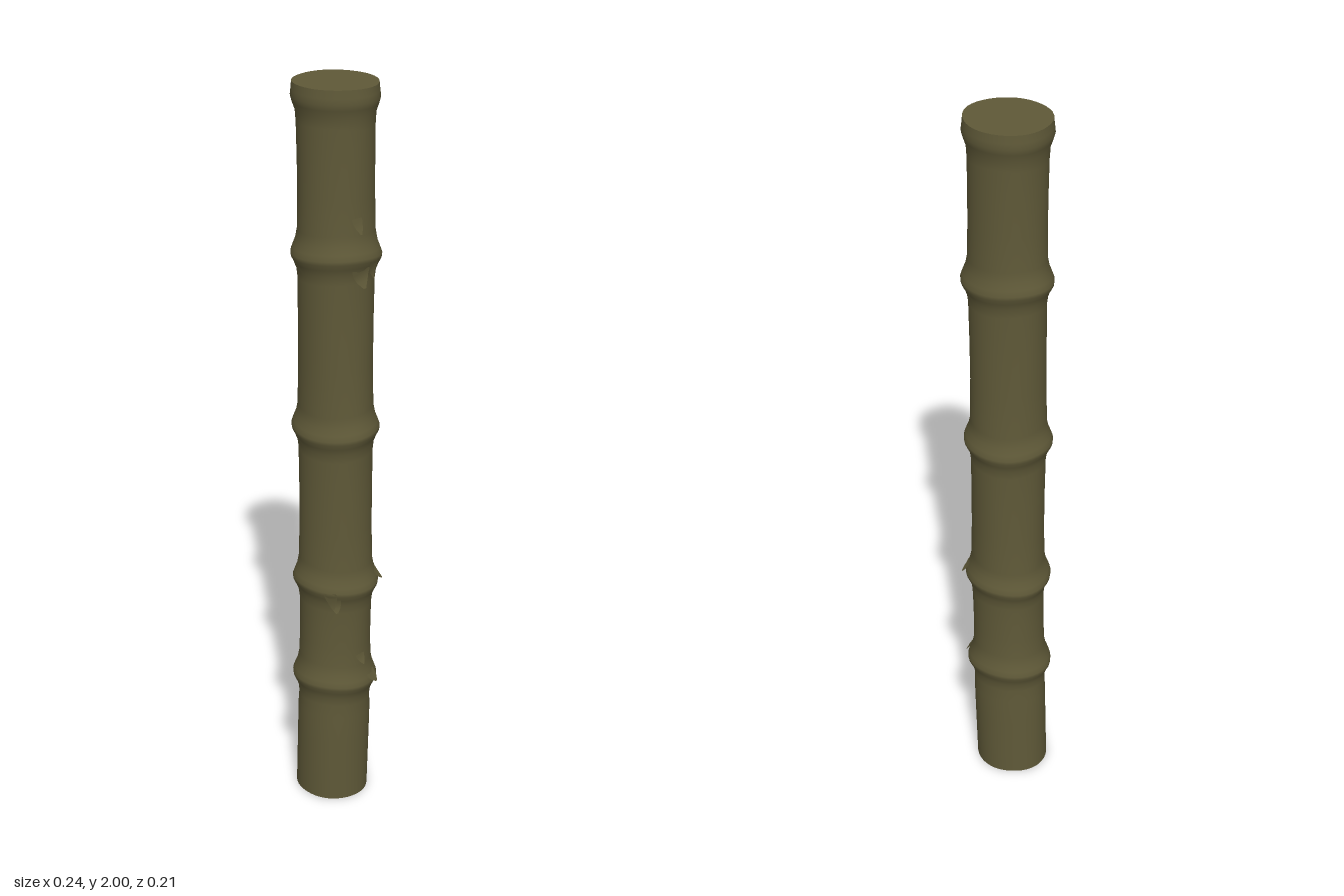
import * as THREE from 'three';
import { mergeVertices } from 'three/addons/utils/BufferGeometryUtils.js';

const SHAFT = 0.098, DEPTH = 0.92, SIDES = 40;
const NODES = [0.365, 0.66, 1.1, 1.575];

// Profile of the stalk as [radius, height], bottom to top
function stalkProfile() {
  const p = [[0.1, 0], [0.1, 0.08], [0.1, 0.18], [0.1, 0.26]];
  // swollen joints: gentle flare above, tighter tuck below
  const ring = [[0, -0.065], [0.003, -0.04], [0.01, -0.022], [0.017, -0.008],
    [0.018, 0.002], [0.013, 0.016], [0.006, 0.034], [0.001, 0.06]];
  NODES.forEach((y, i) => {
    ring.forEach(([r, dy]) => p.push([SHAFT + r, y + dy]));
    const next = (NODES[i + 1] ?? 1.965) - 0.065;
    for (let k = 1; k <= 2; k++) p.push([SHAFT - 0.001, y + 0.06 + (next - y - 0.06) * k / 3]);
  });
  p.push([0.098, 1.9], [0.1, 1.93], [0.107, 1.95], [0.111, 1.965], [0.109, 1.98], [0.107, 2]);
  return p;
}
const PROFILE = stalkProfile();

function radiusAt(y) {
  for (let i = 1; i < PROFILE.length; i++) {
    const [r0, y0] = PROFILE[i - 1], [r1, y1] = PROFILE[i];
    if (y <= y1) return r0 + (r1 - r0) * Math.max(0, (y - y0) / (y1 - y0));
  }
  return 0.107;
}

// Oval section, slight lean at the foot and soft irregularity
function bend(phi, y, r) {
  const lean = -0.012 * Math.max(0, 1 - y / 0.6);
  const wave = 1 + 0.008 * Math.sin(3 * phi + y * 5) + 0.006 * Math.sin(5 * phi - y * 9);
  const sag = y > 0.2 && y < 1.9 ? 0.004 * Math.sin(2 * phi + y * 4) : 0;
  const depth = y > 1.9 ? DEPTH + 0.2 * (y - 1.9) : DEPTH;
  return new THREE.Vector3(lean + r * wave * Math.sin(phi), y + sag, r * wave * depth * Math.cos(phi));
}

function bentLathe(points) {
  let g = new THREE.LatheGeometry(points.map(([r, y]) => new THREE.Vector2(r, y)), SIDES);
  const pos = g.attributes.position;
  for (let i = 0; i < pos.count; i++) {
    const x = pos.getX(i), z = pos.getZ(i);
    const v = bend(Math.atan2(x, z), pos.getY(i), Math.hypot(x, z));
    pos.setXYZ(i, v.x, v.y, v.z);
  }
  g.deleteAttribute('uv');
  g.deleteAttribute('normal');
  g = mergeVertices(g, 1e-5);
  g.computeVertexNormals();
  return g;
}

// Small torn strip of bark: held at one end, curling away at the other
function flake(angle, y, width, drop, lift) {
  const pts = [], index = [], rows = 3;
  for (let i = 0; i <= rows; i++) {
    const t = i / rows, half = width * (1 - 0.85 * t * t) / 2;
    for (const s of [-1, 1]) {
      const h = y - drop * t + s * 0.15 * half;
      const v = bend(angle + s * half / SHAFT + t * 0.08, h, radiusAt(h) + 0.001 + lift * t * t);
      pts.push(v.x, v.y, v.z);
    }
    if (i < rows) {
      const a = i * 2;
      index.push(a, a + 2, a + 1, a + 1, a + 2, a + 3);
    }
  }
  const g = new THREE.BufferGeometry();
  g.setAttribute('position', new THREE.Float32BufferAttribute(pts, 3));
  g.setIndex(index);
  g.computeVertexNormals();
  return g;
}

export function createModel() {
  const group = new THREE.Group();
  group.name = 'bambooStalk';
  const bark = new THREE.MeshStandardMaterial({ color: 0x5f5938, side: THREE.DoubleSide });
  bark.name = 'oliveBark';
  const add = (name, geometry) => {
    const mesh = new THREE.Mesh(geometry, bark);
    mesh.name = name;
    group.add(mesh);
  };

  add('stalk', bentLathe(PROFILE));
  add('topCut', bentLathe([[0.107, 2], [0, 2]]));
  add('bottomCut', bentLathe([[0, 0], [0.1, 0]]));

  // Peeling bark: angle from the front in degrees, height, width, length, lift
  [[25, 0.64, 0.035, 0.04, 0.01], [65, 1.55, 0.05, 0.05, 0.012], [60, 1.68, 0.03, 0.04, 0.008],
    [110, 0.69, 0.03, 0.03, 0.01], [72, 0.46, 0.03, 0.03, 0.008], [95, 0.39, 0.04, 0.03, 0.008],
    [85, 1.57, 0.03, 0.05, 0.008], [20, 0.66, 0.03, 0.05, 0.008],
  ].forEach(([deg, ...rest]) => add('barkFlake', flake(deg * Math.PI / 180, ...rest)));

  return group;
}
